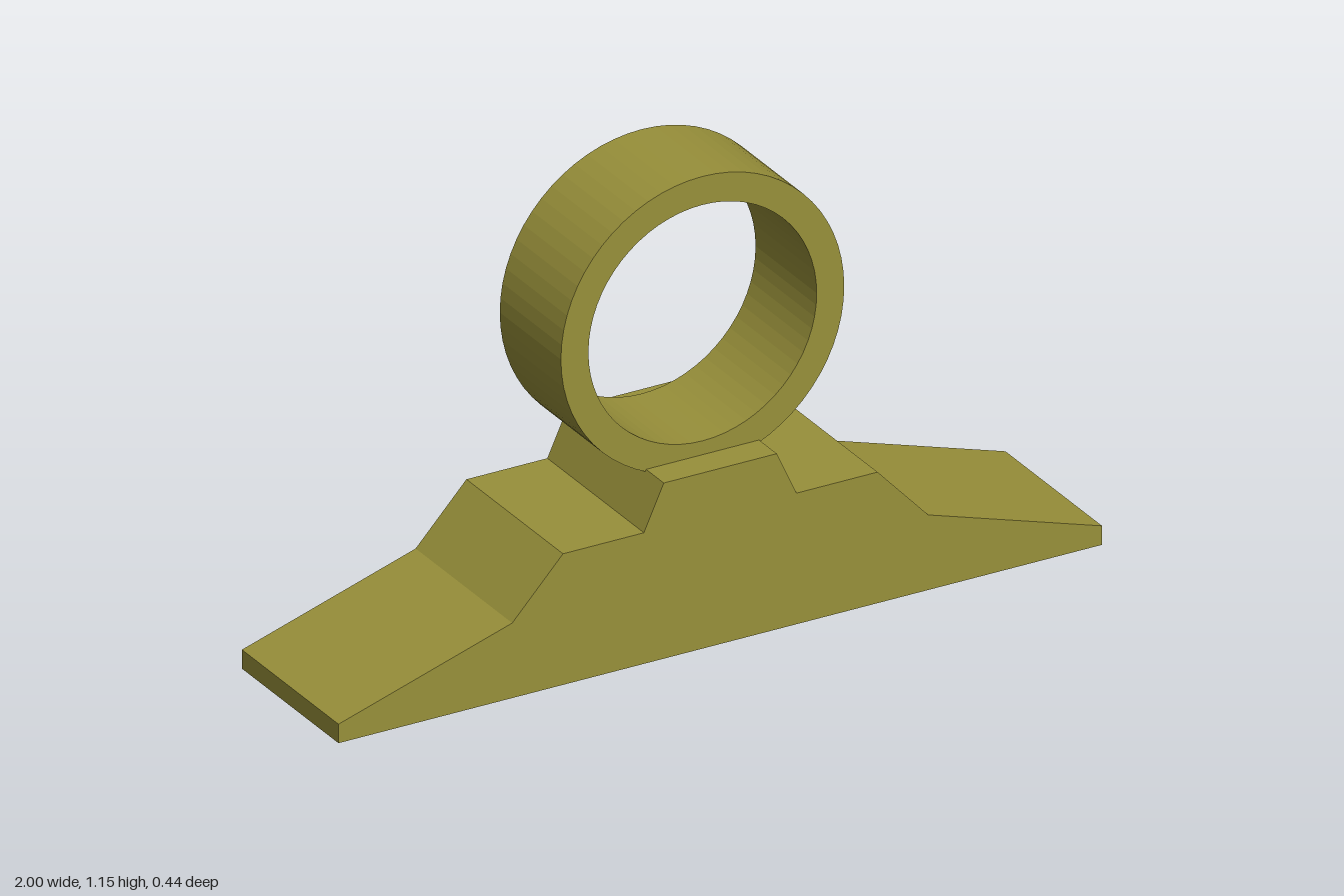
import * as THREE from 'three';

const olive = new THREE.MeshStandardMaterial({ color: 0x98903a });
olive.name = 'olive';
olive.flatShading = true;

// Extrude a front-facing shape to a depth centred on z = 0
function slab(name, shape, depth) {
  const geometry = new THREE.ExtrudeGeometry(shape, { depth, bevelEnabled: false, curveSegments: 32 });
  geometry.translate(0, 0, -depth / 2);
  const mesh = new THREE.Mesh(geometry, olive);
  mesh.name = name;
  return mesh;
}

export function createModel() {
  const group = new THREE.Group();
  group.name = 'ringOnSteppedBase';

  // Stepped base: half profile from the foot to the top, mirrored
  const half = [[1, 0], [1, 0.048], [0.545, 0.19], [0.412, 0.332], [0.2, 0.332], [0.148, 0.445]];
  const mirrored = half.map(([x, y]) => [-x, y]).reverse();
  const profile = [...half, ...mirrored].map(([x, y]) => new THREE.Vector2(x, y));
  group.add(slab('base', new THREE.Shape(profile), 0.436));

  // Ring sunk slightly into the top of the base
  const ring = new THREE.Shape().absarc(0, 0, 0.371, 0, Math.PI * 2);
  ring.holes.push(new THREE.Path().absarc(0, 0, 0.299, 0, Math.PI * 2, true));
  const ringMesh = slab('ring', ring, 0.276);
  ringMesh.position.y = 0.779;
  group.add(ringMesh);

  return group;
}
